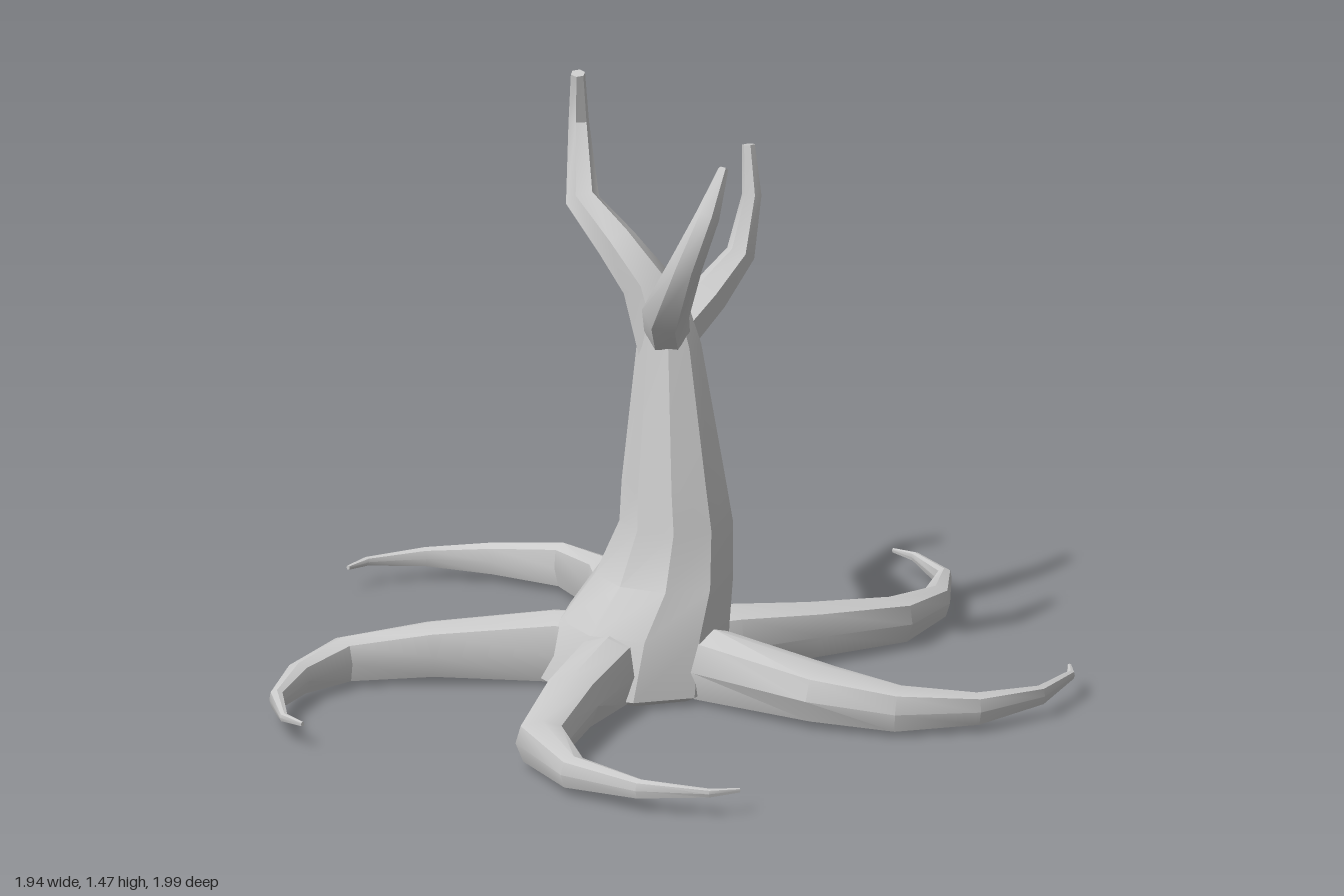
import * as THREE from 'three';
import { toCreasedNormals } from 'three/addons/utils/BufferGeometryUtils.js';

const material = new THREE.MeshStandardMaterial({ color: 0xcccccc });
const V = (x, y, z) => new THREE.Vector3(x, y, z);

// Regular cross-section of n sides, counter-clockwise, radius 1
const ngon = (n, turn = 0) => Array.from({ length: n }, (_, i) => {
  const a = turn + (i / n) * Math.PI * 2;
  return [Math.cos(a), Math.sin(a)];
});

// Skins a cross-section along rings { p, w, h }; fixedT keeps all rings parallel
function loft(name, rings, section, ref, fixedT, crease = 0.6) {
  const pos = [], index = [], n = section.length, last = rings.length - 1;
  rings.forEach(({ p, w, h }, i) => {
    const t = fixedT ?? rings[Math.min(i + 1, last)].p.clone().sub(rings[Math.max(i - 1, 0)].p).normalize();
    const side = ref.clone().cross(t).normalize();
    const up = t.clone().cross(side);
    for (const [u, v] of section) {
      const q = p.clone().addScaledVector(side, u * w).addScaledVector(up, v * h);
      pos.push(q.x, q.y, q.z);
    }
    if (i === last) return;
    for (let j = 0; j < n; j++) {
      const a = i * n + j, b = i * n + (j + 1) % n;
      index.push(a, b, b + n, a, b + n, a + n);
    }
  });
  for (let j = 1; j < n - 1; j++) {
    index.push(0, j + 1, j);
    index.push(last * n, last * n + j, last * n + j + 1);
  }
  const g = new THREE.BufferGeometry();
  g.setAttribute('position', new THREE.Float32BufferAttribute(pos, 3));
  g.setIndex(index);
  const mesh = new THREE.Mesh(toCreasedNormals(g, crease), material);
  mesh.name = name;
  return mesh;
}

// Root: [x, z, half width] along the ground, heights shared by all roots
const rootTop = [0.175, 0.175, 0.145, 0.12, 0.095, 0.08, 0.07, 0.065];
const rootBottom = [0.01, 0.01, 0.02, 0.015, 0.02, 0.035, 0.05, 0.055];
const rootSection = [[1, -0.1], [0.8, 0.75], [0.05, 1], [-0.8, 0.75], [-1, -0.1], [-0.7, -1], [0.7, -1]];
function root(name, pts) {
  const [x, z, w] = pts[0];
  const all = [[x + (0.06 - x) * 0.4, z + (0.06 - z) * 0.4, w], ...pts];
  const rings = all.map(([px, pz, pw], i) => ({
    p: V(px, (rootTop[i] + rootBottom[i]) / 2, pz), w: pw, h: (rootTop[i] - rootBottom[i]) / 2,
  }));
  return loft(name, rings, rootSection, V(0, 1, 0));
}

// Branch: [x, y, z, radius]
const branch = (name, pts, ref) => loft(name,
  pts.map(([x, y, z, r]) => ({ p: V(x, y, z), w: r, h: r })), ngon(6), ref, undefined, 0.8);

export function createModel() {
  const model = new THREE.Group();
  model.name = 'deadTree';

  // Trunk rings: y, centre x, centre z, radius x, radius z
  const trunk = [
    [0, 0.05, 0.06, 0.19, 0.19],
    [0.02, 0.04, 0.07, 0.24, 0.22],
    [0.17, 0.07, 0.06, 0.215, 0.2],
    [0.28, 0.095, 0.02, 0.18, 0.157],
    [0.42, 0.12, 0.0, 0.138, 0.142],
    [0.52, 0.11, -0.002, 0.127, 0.13],
    [0.86, 0.088, -0.008, 0.08, 0.078],
    [0.95, 0.08, 0.0, 0.062, 0.06],
  ].map(([y, x, z, w, h]) => ({ p: V(x, y, z), w, h }));
  model.add(loft('trunk', trunk, ngon(9, Math.PI / 2), V(0, 0, 1), V(0, 1, 0)));

  // Five curling roots
  const roots = new THREE.Group();
  roots.name = 'roots';
  roots.add(
    root('backRoot', [[0.165, -0.14, 0.08], [0.235, -0.35, 0.068], [0.31, -0.585, 0.055],
      [0.27, -0.77, 0.035], [0.16, -0.92, 0.018], [0, -0.99, 0.01], [-0.07, -0.99, 0.005]]),
    root('leftRoot', [[0.27, 0.035, 0.08], [0.6, 0.005, 0.077], [0.785, -0.065, 0.056],
      [0.91, -0.21, 0.032], [0.955, -0.39, 0.016], [0.91, -0.55, 0.01], [0.86, -0.6, 0.005]]),
    root('frontLeftRoot', [[0.12, 0.255, 0.075], [0.2, 0.47, 0.07], [0.33, 0.72, 0.062],
      [0.525, 0.82, 0.036], [0.735, 0.812, 0.02], [0.89, 0.73, 0.011], [0.93, 0.665, 0.005]]),
    root('frontRightRoot', [[-0.12, 0.175, 0.082], [-0.34, 0.38, 0.066], [-0.47, 0.55, 0.045],
      [-0.465, 0.72, 0.03], [-0.39, 0.88, 0.018], [-0.275, 0.98, 0.01], [-0.205, 0.99, 0.005]]),
    root('rightRoot', [[-0.14, -0.105, 0.078], [-0.37, -0.285, 0.052], [-0.575, -0.36, 0.034],
      [-0.755, -0.305, 0.03], [-0.885, -0.2, 0.018], [-0.957, -0.07, 0.01], [-0.955, 0, 0.005]]),
  );
  model.add(roots);

  // Three forked branches
  const branches = new THREE.Group();
  branches.name = 'branches';
  branches.add(
    branch('rightBranch', [[0.085, 0.84, 0, 0.07], [0.03, 1.0, 0.01, 0.063], [-0.05, 1.09, 0.03, 0.052],
      [-0.17, 1.17, 0.02, 0.042], [-0.255, 1.33, -0.06, 0.026], [-0.235, 1.465, -0.035, 0.018]], V(0, 0, 1)),
    branch('leftBranch', [[0.09, 0.87, 0, 0.055], [0.165, 0.97, 0.09, 0.058], [0.29, 1.14, 0.15, 0.04],
      [0.33, 1.26, 0.12, 0.03], [0.305, 1.355, 0.035, 0.012]], V(1, 0, 0)),
    branch('backBranch', [[0.09, 0.86, 0, 0.058], [0.105, 0.95, -0.13, 0.05], [0.125, 1.04, -0.225, 0.036],
      [0.125, 1.18, -0.265, 0.024], [0.105, 1.3, -0.275, 0.016]], V(1, 0, 0)),
  );
  model.add(branches);
  return model;
}
